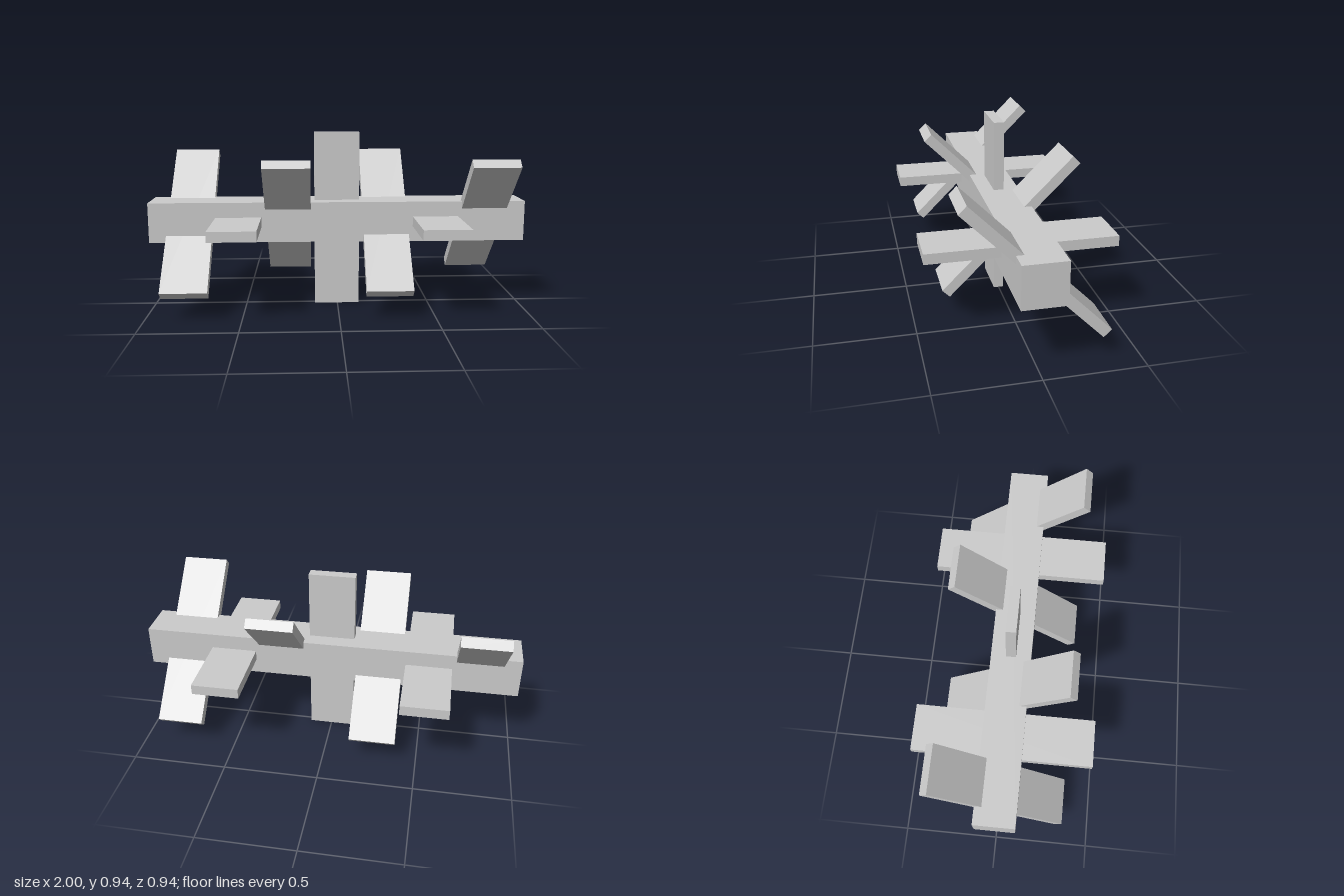
import * as THREE from 'three';

export function createModel() {
  const model = new THREE.Group();
  model.name = 'paddleShaft';
  const material = new THREE.MeshStandardMaterial({ color: 0xcccccc, flatShading: true });
  const axisY = 0.47;

  const addBox = (name, w, h, d, x) => {
    const mesh = new THREE.Mesh(new THREE.BoxGeometry(w, h, d), material);
    mesh.name = name;
    mesh.position.set(x, axisY, 0);
    model.add(mesh);
    return mesh;
  };

  // Square shaft along x
  addBox('shaft', 2, 0.213, 0.213, 0);

  // Seven paddles through the shaft, each turned 45 degrees further than the last
  const spacing = 0.262;
  for (let i = 1; i <= 7; i++) {
    const paddle = addBox('paddle' + i, 0.242, 0.94, 0.053, (i - 4) * spacing - 0.003);
    paddle.rotation.x = -i * Math.PI / 4;
  }

  return model;
}
